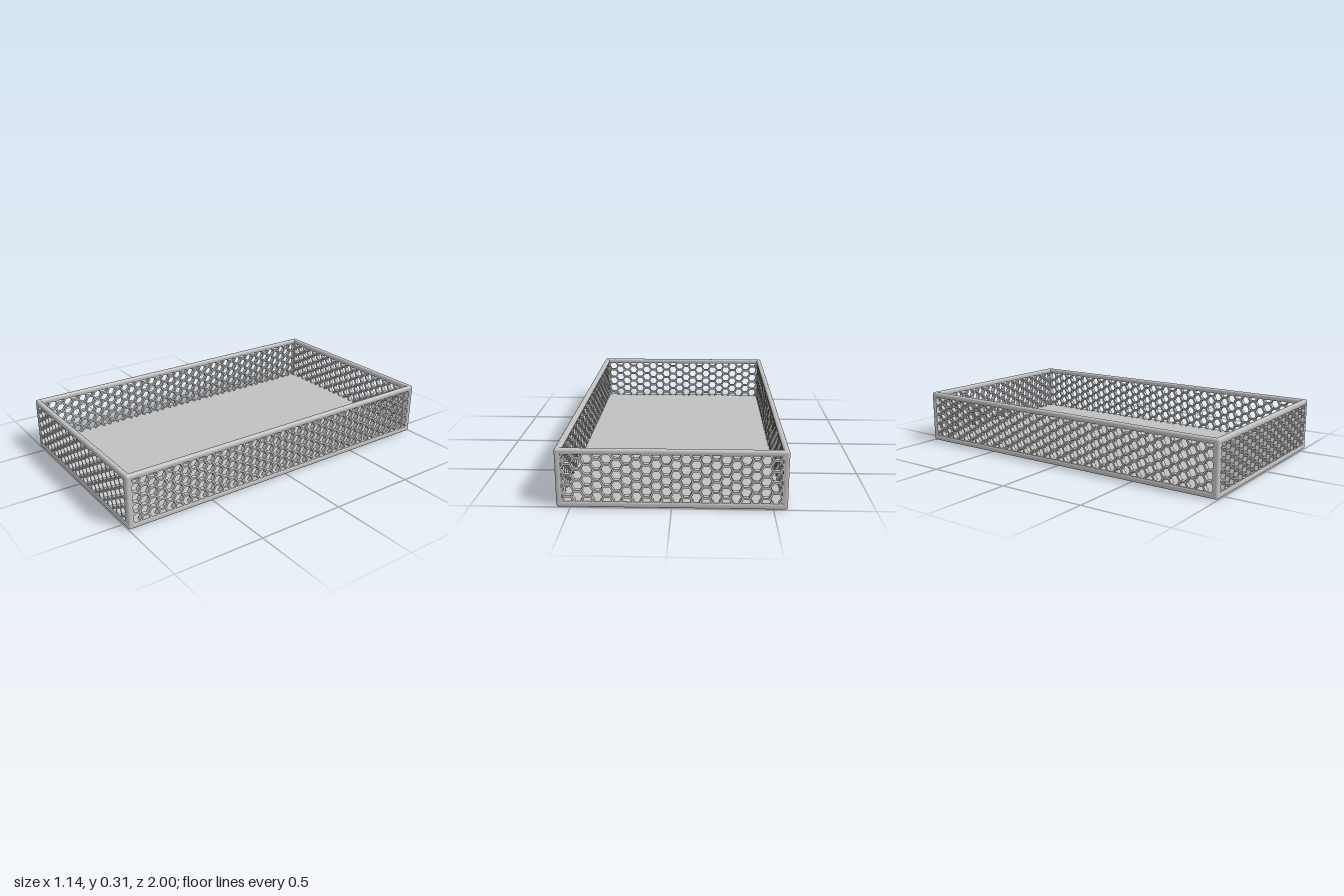
import * as THREE from 'three';
import { RoundedBoxGeometry } from 'three/addons/geometries/RoundedBoxGeometry.js';

const W = 1.14, H = 0.305, D = 2, T = 0.03, R = 0.012; // outer size, bar thickness, edge radius
const PITCH = 0.0487, ROW = PITCH / 1.5 * Math.sqrt(3), HEX = 0.0268;
const BOTTOM = 0.033, TOP = 0.277;                     // open band of the lattice

// Keep the part of a polygon where sign * coordinate <= limit
function clip(points, axis, sign, limit) {
  const out = [];
  points.forEach((a, i) => {
    const b = points[(i + 1) % points.length];
    const da = sign * a[axis] - limit, db = sign * b[axis] - limit;
    if (da <= 0) out.push(a);
    if (da * db < 0) out.push(a.clone().lerp(b, da / (da - db)));
  });
  return out;
}

// Flat panel with staggered hexagonal holes, cut off at the frame
function latticeGeometry(length, columns) {
  const half = length / 2 - T * 0.5, open = length / 2 - T;
  const shape = new THREE.Shape([
    new THREE.Vector2(-half, T * 0.5), new THREE.Vector2(half, T * 0.5),
    new THREE.Vector2(half, H - T * 0.5), new THREE.Vector2(-half, H - T * 0.5),
  ]);
  for (let c = -1; c <= columns; c++) {
    const x = (c - (columns - 1) / 2) * PITCH;
    const offset = c % 2 === 0 ? ROW : ROW / 2;
    for (let r = 0; r < 5; r++) {
      const y = offset + r * ROW;
      let hex = [];
      for (let k = 0; k < 6; k++) {
        const a = -k * Math.PI / 3;
        hex.push(new THREE.Vector2(x + HEX * Math.cos(a), y + HEX * Math.sin(a)));
      }
      hex = clip(clip(hex, 'y', 1, TOP), 'y', -1, -BOTTOM);
      hex = clip(clip(hex, 'x', 1, open), 'x', -1, open);
      if (hex.length > 2) shape.holes.push(new THREE.Path(hex));
    }
    // Half holes along the lower edge of the staggered columns
    if (c % 2 !== 0) {
      const y = offset - 0.0;
      let hex = [];
      for (let k = 0; k < 6; k++) {
        const a = -k * Math.PI / 3;
        hex.push(new THREE.Vector2(x + HEX * Math.cos(a), y + HEX * Math.sin(a)));
      }
      shape.holes = shape.holes.filter((h) => h.getPoints().length > 2);
    }
  }
  const depth = T - 0.004;
  const geometry = new THREE.ExtrudeGeometry(shape, { depth, bevelEnabled: false });
  return geometry.translate(0, 0, -depth / 2);
}

export function createModel() {
  const tray = new THREE.Group();
  tray.name = 'tray';
  const grey = new THREE.MeshStandardMaterial({ color: 0xc0c0c0 });
  grey.name = 'light grey';

  function add(name, geometry, x, y, z, turn = 0) {
    const mesh = new THREE.Mesh(geometry, grey);
    mesh.name = name;
    mesh.position.set(x, y, z);
    mesh.rotation.y = turn;
    tray.add(mesh);
  }
  const bar = (w, h, d) => new RoundedBoxGeometry(w, h, d, 4, R);

  // Solid floor with rounded edges
  add('floor', bar(W, BOTTOM, D), 0, BOTTOM / 2, 0);

  // Lattice walls, rim bars and corner posts
  const endWall = latticeGeometry(W, 22), sideWall = latticeGeometry(D, 40);
  const endRim = bar(W, T, T), sideRim = bar(T, T, D), post = bar(T, H, T);
  const px = W / 2 - T / 2, pz = D / 2 - T / 2;
  for (const s of [1, -1]) {
    const end = s > 0 ? 'front' : 'back', side = s > 0 ? 'left' : 'right';
    add(end + 'Lattice', endWall, 0, 0, s * pz);
    add(side + 'Lattice', sideWall, s * px, 0, 0, Math.PI / 2);
    add(end + 'Rim', endRim, 0, H - T / 2, s * pz);
    add(side + 'Rim', sideRim, s * px, H - T / 2, 0);
    for (const t of [1, -1]) add(end + 'CornerPost', post, t * px, H / 2, s * pz);
  }
  return tray;
}
